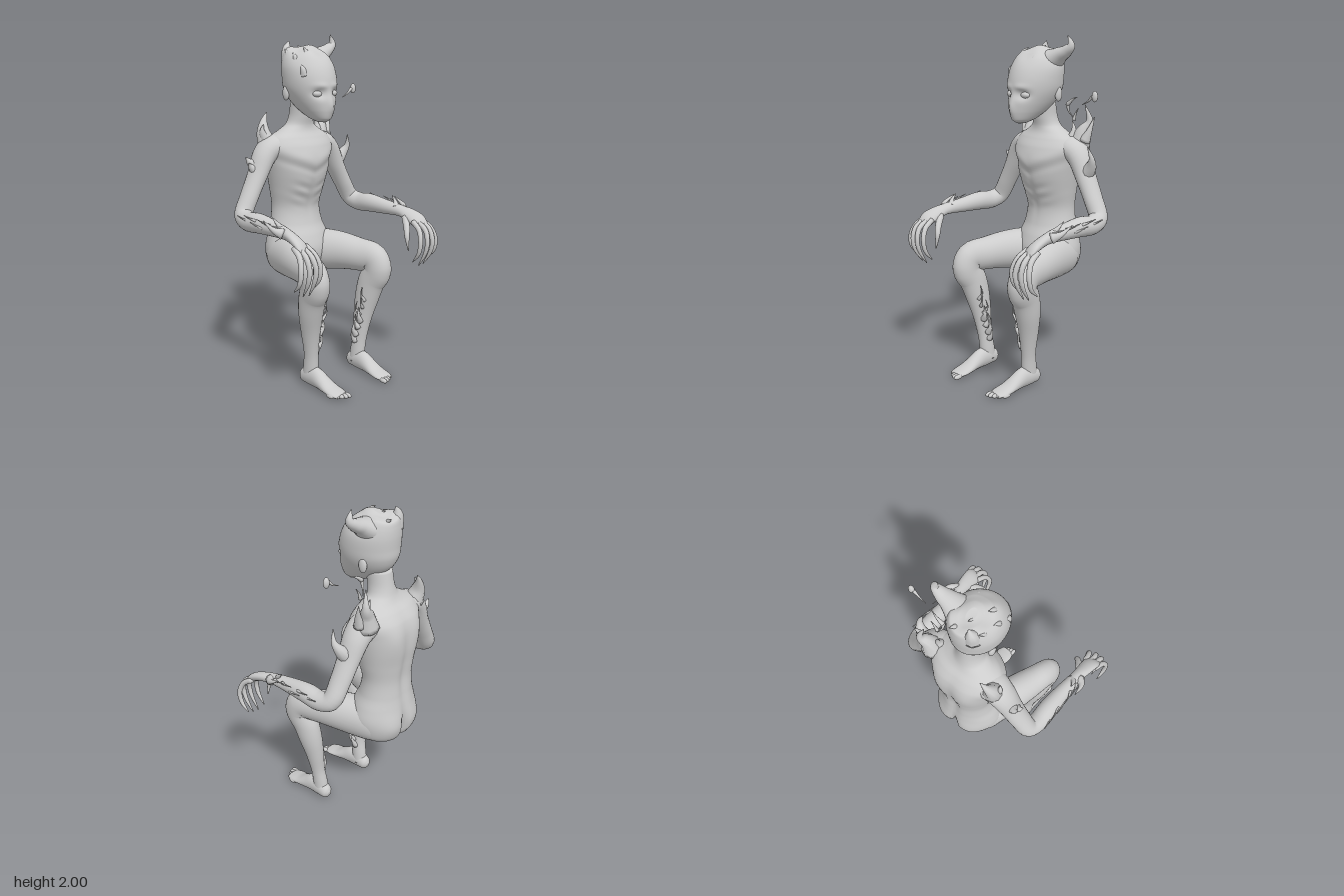
import * as THREE from 'three';

const skin = new THREE.MeshStandardMaterial({ color: 0xcccccc });
skin.name = 'grey skin';
const V = (x, y, z) => new THREE.Vector3(x, y, z);
const bell = (d, w) => Math.exp(-((d / w) ** 2));

// Smooth loft through sections [x, y, z, radiusA, radiusB]; radiusA lies along "side".
function loft(name, sections, { side = V(1, 0, 0), seg = 20, steps = 5, level = false, tweak } = {}) {
  const path = new THREE.CatmullRomCurve3(sections.map(s => V(s[0], s[1], s[2])));
  const radii = new THREE.CatmullRomCurve3(sections.map(s => V(s[3], s[4] ?? s[3], 0)), false, 'catmullrom', 0.5);
  const n = (sections.length - 1) * steps, pos = [], idx = [];
  for (let i = 0; i <= n; i++) {
    const c = path.getPoint(i / n), r = radii.getPoint(i / n);
    const t = level ? V(0, 1, 0) : path.getTangent(i / n);
    const s = side.clone().addScaledVector(t, -side.dot(t)).normalize();
    const u = t.clone().cross(s);
    for (let j = 0; j < seg; j++) {
      const a = j / seg * Math.PI * 2;
      const p = c.clone().addScaledVector(s, Math.cos(a) * r.x).addScaledVector(u, Math.sin(a) * r.y);
      if (tweak) tweak(p);
      pos.push(p.x, p.y, p.z);
    }
  }
  for (let i = 0; i < n; i++) for (let j = 0; j < seg; j++) {
    const a = i * seg + j, b = i * seg + (j + 1) % seg;
    idx.push(a, b, a + seg, b, b + seg, a + seg);
  }
  // end caps
  const first = path.getPoint(0), last = path.getPoint(1), k = pos.length / 3;
  pos.push(...first.toArray(), ...last.toArray());
  for (let j = 0; j < seg; j++) {
    const q = (j + 1) % seg;
    idx.push(k, q, j, k + 1, n * seg + j, n * seg + q);
  }
  const g = new THREE.BufferGeometry();
  g.setAttribute('position', new THREE.Float32BufferAttribute(pos, 3));
  g.setIndex(idx);
  g.computeVertexNormals();
  const mesh = new THREE.Mesh(g, skin);
  mesh.name = name;
  return mesh;
}

// Upright body from rows [y, frontZ, backZ, halfWidth]
const upright = (name, rows, tweak) => loft(name,
  rows.map(([y, f, b, w]) => [0, y, (f + b) / 2, w, (f - b) / 2]), { level: true, seg: 64, steps: 8, tweak });

// Tapering, bent flame-like spike
const spike = (name, pts, r) => loft(name,
  pts.map((p, i) => [...p, Math.max(r * (1 - i / (pts.length - 1)), 0.002)]),
  { seg: 10, steps: 4, side: V(0.6, 0.1, 0.8) });

function ball(name, x, y, z, rx, ry, rz) {
  const m = new THREE.Mesh(new THREE.SphereGeometry(1, 28, 20), skin);
  m.scale.set(rx, ry, rz);
  m.position.set(x, y, z);
  m.name = name;
  return m;
}

function torso() {
  return upright('torso', [
    [0.585, -0.24, -0.34, 0.07], [0.6, -0.17, -0.385, 0.14], [0.64, -0.12, -0.412, 0.183],
    [0.7, -0.09, -0.426, 0.205], [0.76, -0.085, -0.426, 0.21], [0.83, -0.105, -0.418, 0.193],
    [0.9, -0.135, -0.41, 0.168], [1.0, -0.15, -0.405, 0.155], [1.1, -0.12, -0.415, 0.17],
    [1.2, -0.09, -0.425, 0.19], [1.3, -0.08, -0.42, 0.21], [1.37, -0.1, -0.4, 0.225],
    [1.42, -0.13, -0.365, 0.2], [1.455, -0.15, -0.33, 0.14], [1.49, -0.155, -0.31, 0.088],
    [1.54, -0.145, -0.295, 0.07], [1.62, -0.13, -0.28, 0.068],
  ], p => {
    if (p.z < -0.27) { // spine groove, shoulder blades and buttock cleft
      const back = Math.min((-0.27 - p.z) / 0.1, 1);
      p.z += back * 0.02 * bell(p.x, 0.035) * bell(p.y - 1.05, 0.28);
      p.z -= back * 0.012 * bell(Math.abs(p.x) - 0.1, 0.05) * bell(p.y - 1.28, 0.1);
      p.z += back * 0.04 * bell(p.x, 0.022) * bell(p.y - 0.66, 0.11);
      p.z -= back * 0.016 * bell(Math.abs(p.x) - 0.11, 0.07) * bell(p.y - 0.7, 0.09);
    } else { // chest edge, ribs and belly line
      const d = p.y - 1.235 - Math.abs(p.x) * 0.4, front = Math.min((p.z + 0.27) / 0.1, 1);
      p.z += front * (0.006 * bell(d - 0.03, 0.035) - 0.007 * bell(d + 0.02, 0.025));
      p.z -= front * 0.006 * bell(p.x, 0.02) * bell(p.y - 1.08, 0.14);
      p.z += front * 0.004 * Math.sin(p.y * 95 - Math.abs(p.x) * 40) * bell(p.y - 1.1, 0.07) * bell(Math.abs(p.x) - 0.07, 0.05);
    }
  });
}

function head() {
  const g = new THREE.Group();
  g.name = 'head';
  g.add(upright('skull', [
    [1.515, 0.0, -0.07, 0.02], [1.535, 0.03, -0.13, 0.05], [1.58, 0.042, -0.21, 0.083],
    [1.64, 0.043, -0.28, 0.116], [1.7, 0.036, -0.31, 0.139], [1.76, 0.028, -0.315, 0.147],
    [1.82, 0.005, -0.318, 0.145], [1.87, -0.03, -0.315, 0.128], [1.91, -0.075, -0.305, 0.1],
    [1.928, -0.12, -0.27, 0.06], [1.933, -0.16, -0.23, 0.02],
  ], p => { // eye sockets, brow and nose ridge, uneven crown
    p.y += 0.012 * Math.sin(p.x * 34 + 1) * Math.sin(p.z * 30) * bell(p.y - 1.93, 0.08);
    if (p.z < -0.08) return;
    p.z -= 0.024 * bell(Math.abs(p.x) - 0.057, 0.032) * bell(p.y - 1.678, 0.026);
    p.z += 0.014 * bell(p.x, 0.02) * bell(p.y - 1.61, 0.05);
    p.z += 0.008 * bell(Math.abs(p.x) - 0.05, 0.04) * bell(p.y - 1.72, 0.018);
  }));
  for (const m of [-1, 1]) {
    g.add(ball('eye', m * 0.057, 1.677, -0.006, 0.03, 0.019, 0.023));
    g.add(ball('ear', m * 0.126, 1.675, -0.2, 0.016, 0.042, 0.025));
  }
  // big left horn, small rear horn
  g.add(loft('leftHorn', [[0.0, 1.83, -0.19, 0.1, 0.09], [0.08, 1.862, -0.19, 0.085, 0.065],
    [0.14, 1.893, -0.192, 0.056, 0.044], [0.185, 1.915, -0.195, 0.04, 0.033],
    [0.222, 1.948, -0.195, 0.022], [0.203, 2.0, -0.19, 0.002]], { side: V(0, 0, 1) }));
  g.add(spike('rearHorn', [[-0.05, 1.86, -0.25], [-0.06, 1.92, -0.27], [-0.045, 1.965, -0.27]], 0.06));
  // ragged tufts along the right of the crown
  for (const [x, y, z] of [[-0.1, 1.9, -0.22], [-0.115, 1.88, -0.13], [-0.06, 1.91, -0.1],
    [-0.02, 1.92, -0.2], [0.03, 1.91, -0.28], [-0.12, 1.82, -0.06], [0.06, 1.88, -0.07]])
    g.add(spike('crownTuft', [[x * 0.85, y - 0.04, z], [x * 0.97, y - 0.005, z], [x + 0.01, y + 0.02, z - 0.03]], 0.028));
  return g;
}

function arm(m) {
  const g = new THREE.Group();
  g.name = m > 0 ? 'leftArm' : 'rightArm';
  const X = pts => pts.map(([x, ...r]) => [x * m, ...r]);
  g.add(loft('armAndForearm', X([
    [0.08, 1.35, -0.26, 0.05, 0.06], [0.16, 1.37, -0.26, 0.068, 0.088], [0.23, 1.335, -0.26, 0.066, 0.08],
    [0.3, 1.21, -0.255, 0.054, 0.066], [0.36, 1.1, -0.25, 0.05, 0.06], [0.415, 1.0, -0.235, 0.052, 0.055],
    [0.43, 0.975, -0.17, 0.056, 0.055], [0.43, 0.98, -0.07, 0.055, 0.056], [0.432, 0.975, 0.06, 0.044, 0.044],
    [0.44, 0.968, 0.18, 0.036, 0.032], [0.445, 0.957, 0.24, 0.043, 0.028], [0.45, 0.93, 0.31, 0.05, 0.025],
    [0.453, 0.895, 0.35, 0.04, 0.014]]), { side: V(0.9 * m, 0.45, 0), seg: 24 }));
  // four long curled fingers and a thumb
  [[0.413, 0.39, 0.69], [0.441, 0.425, 0.665], [0.468, 0.465, 0.67], [0.49, 0.512, 0.7]].forEach(([x, tx, ty], i) => {
    const mid = (x + tx) / 2 + (i - 1.5) * 0.01, z = i % 3 ? 0.015 : 0;
    g.add(loft('finger', X([[x, 0.925, 0.31, 0.016], [x + (i - 1.5) * 0.008, 0.885, 0.37 + z, 0.0155],
      [mid, 0.82, 0.396 + z, 0.014], [mid, 0.75, 0.383 + z, 0.012], [tx, ty, 0.335 + z, 0.003]]), { seg: 10 }));
  });
  g.add(loft('thumb', X([[0.42, 0.94, 0.24, 0.022], [0.38, 0.89, 0.29, 0.019], [0.357, 0.84, 0.315, 0.014],
    [0.367, 0.76, 0.32, 0.003]]), { seg: 10, side: V(0, 0, 1) }));
  // torn flakes along the outside of the forearm
  for (let i = 0; i < 6; i++) {
    const z = -0.14 + i * 0.06, y = 0.99 + 0.018 * Math.sin(i * 2.3);
    g.add(spike('forearmFlake', X([[0.47, y, z + 0.04], [0.484, y + 0.01, z], [0.49, y + 0.022, z - 0.05]]), 0.009));
  }
  g.add(spike('wristFlame', X([[0.46, 0.97, 0.18], [0.495, 0.99, 0.15], [0.505, 1.03, 0.07]]), 0.032));
  g.add(spike('wristFlame', X([[0.43, 0.98, 0.15], [0.45, 1.01, 0.13], [0.46, 1.045, 0.09]]), 0.025));
  return g;
}

function leg(m) {
  const g = new THREE.Group();
  g.name = m > 0 ? 'leftLeg' : 'rightLeg';
  const X = pts => pts.map(([x, ...r]) => [x * m, ...r]);
  g.add(loft('thighAndShin', X([
    [0.095, 0.71, -0.36, 0.06, 0.07], [0.105, 0.712, -0.29, 0.098, 0.117], [0.13, 0.718, -0.18, 0.108, 0.125],
    [0.172, 0.722, -0.06, 0.1, 0.115], [0.21, 0.715, 0.06, 0.088, 0.1], [0.24, 0.7, 0.163, 0.076, 0.093],
    [0.242, 0.64, 0.188, 0.073, 0.092], [0.232, 0.56, 0.15, 0.07, 0.087], [0.222, 0.46, 0.124, 0.066, 0.077],
    [0.208, 0.34, 0.105, 0.053, 0.06], [0.195, 0.21, 0.094, 0.041, 0.045], [0.188, 0.12, 0.083, 0.041, 0.048],
    [0.186, 0.05, 0.075, 0.042, 0.05]]), { seg: 32 }));
  g.add(loft('foot', X([[0.188, 0.04, 0.008, 0.015, 0.02], [0.188, 0.045, 0.025, 0.036, 0.04],
    [0.187, 0.06, 0.07, 0.043, 0.057], [0.186, 0.062, 0.13, 0.044, 0.06], [0.185, 0.047, 0.19, 0.047, 0.044],
    [0.183, 0.03, 0.25, 0.053, 0.027], [0.181, 0.022, 0.3, 0.055, 0.019], [0.179, 0.017, 0.34, 0.044, 0.013]])));
  for (let i = 0; i < 5; i++) // toes, longest on the inside
    g.add(ball('toe', m * (0.144 + i * 0.0205), 0.016, 0.348 - i * i * 0.0035, 0.0135, 0.014, 0.03));
  // torn flakes on the inner calf, heavier near the ankle
  for (let i = 0; i < 7; i++) {
    const y = 0.22 + i * 0.045, x = 0.148 - 0.008 * Math.sin(i * 1.9), z = 0.09 + i * 0.012;
    g.add(spike('calfFlake', X([[x + 0.012, y - 0.035, z], [x - 0.012, y + 0.005, z + 0.012 * Math.sin(i * 2.7)],
      [x - 0.016 - 0.008 * Math.cos(i * 3), y + 0.06, z + 0.01]]), i < 4 ? 0.021 : 0.011));
  }
  return g;
}

// Flames rising from shoulders and upper arms, and loose scraps by the left of the head
function flames() {
  const g = new THREE.Group();
  g.name = 'shoulderFlames';
  const list = [
    [0.065, [0.2, 1.38, -0.3], [0.22, 1.46, -0.31], [0.25, 1.52, -0.33], [0.23, 1.615, -0.31]],
    [0.035, [0.25, 1.41, -0.29], [0.275, 1.47, -0.3], [0.295, 1.55, -0.32]],
    [0.03, [0.17, 1.42, -0.27], [0.175, 1.47, -0.28], [0.16, 1.52, -0.28]],
    [0.06, [-0.2, 1.38, -0.29], [-0.21, 1.45, -0.31], [-0.19, 1.51, -0.33], [-0.16, 1.56, -0.34]],
    [0.03, [-0.22, 1.41, -0.28], [-0.24, 1.46, -0.28], [-0.235, 1.5, -0.27]],
    [0.05, [0.3, 1.23, -0.25], [0.345, 1.28, -0.24], [0.37, 1.33, -0.22], [0.355, 1.4, -0.2]],
    [0.04, [-0.3, 1.26, -0.26], [-0.335, 1.29, -0.28], [-0.36, 1.32, -0.28]],
    [0.03, [-0.32, 1.24, -0.25], [-0.35, 1.27, -0.25], [-0.365, 1.29, -0.24]],
  ];
  for (const [r, ...pts] of list) g.add(spike('flame', pts, r));
  g.add(ball('looseScrap', 0.4, 1.68, -0.2, 0.018, 0.03, 0.015));
  g.add(spike('looseScrap', [[0.385, 1.68, -0.2], [0.35, 1.65, -0.2], [0.31, 1.63, -0.2]], 0.01));
  g.add(spike('looseScrap', [[0.17, 1.62, -0.23], [0.21, 1.65, -0.23], [0.25, 1.665, -0.22]], 0.013));
  g.add(spike('looseScrap', [[0.17, 1.62, -0.23], [0.17, 1.58, -0.24], [0.19, 1.54, -0.26]], 0.012));
  g.add(spike('looseScrap', [[0.2, 1.53, -0.25], [0.215, 1.57, -0.25], [0.235, 1.6, -0.25]], 0.011));
  return g;
}

export function createModel() {
  const model = new THREE.Group();
  model.name = 'seatedFigure';
  model.add(torso(), head(), flames());
  for (const m of [-1, 1]) model.add(arm(m), leg(m));
  return model;
}
